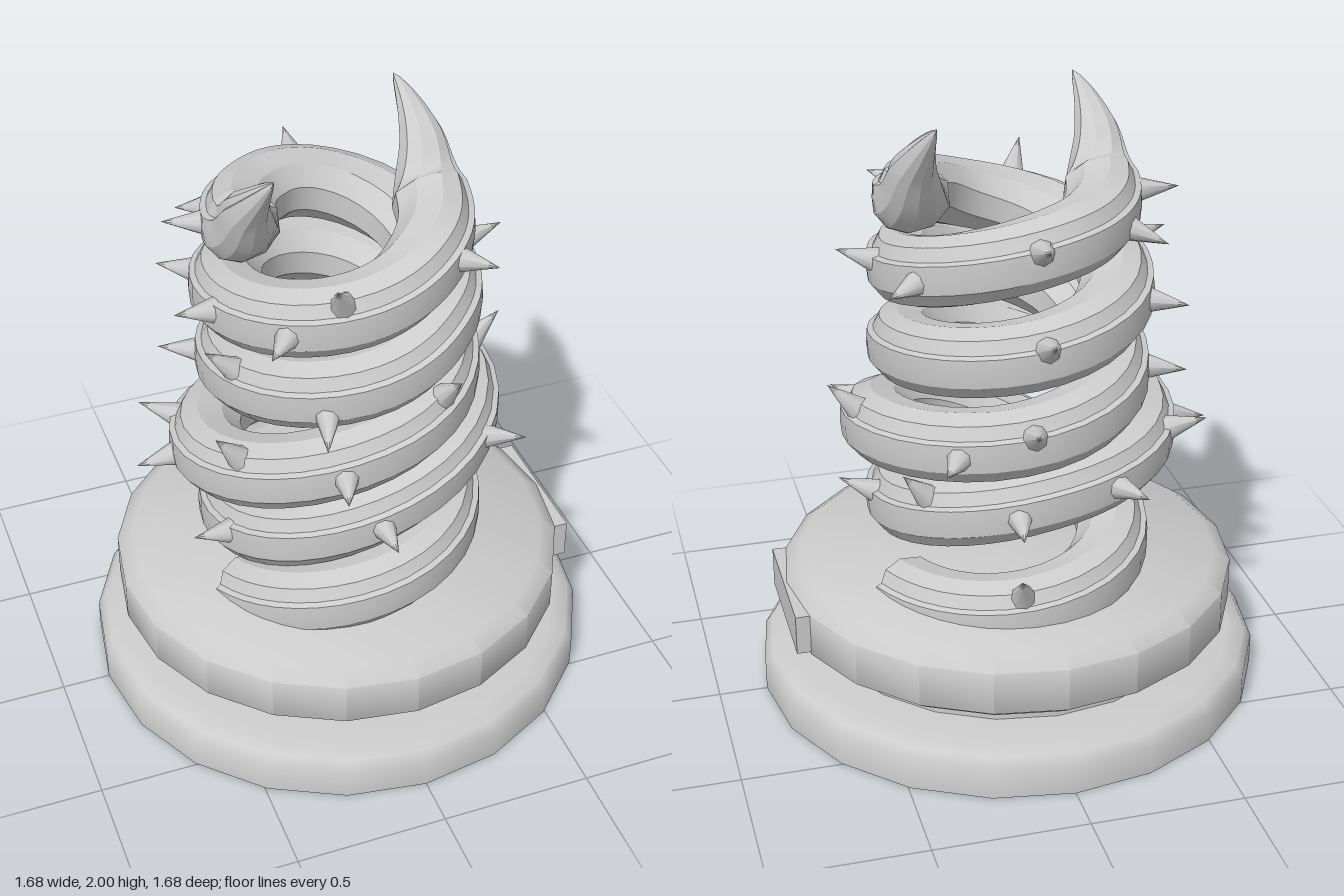
import * as THREE from 'three';
import { toCreasedNormals } from 'three/addons/utils/BufferGeometryUtils.js';

const material = new THREE.MeshStandardMaterial({ color: 0xcccccc });
const openMaterial = new THREE.MeshStandardMaterial({ color: 0xcccccc, side: THREE.DoubleSide });

// Vine cross-section: x points away from the axis, y points up; small steps form the ridges
const SECTION = [
  [1, 0], [0.97, 0.4], [0.8, 0.46], [0.62, 0.82], [0.1, 1], [-0.6, 0.85],
  [-1.1, 0.35], [-1.1, -0.35], [-0.6, -0.85], [0.1, -1], [0.64, -0.82], [0.96, -0.42],
];

// Each knot is [turn in degrees, height, distance from the axis]
const VINES = [
  {
    knots: [
      [-69, 0.4, 0.41], [0, 0.55, 0.43], [90, 0.65, 0.35], [180, 0.8, 0.36],
      [270, 0.9, 0.45], [360, 1.09, 0.4], [450, 1.21, 0.34], [540, 1.33, 0.42],
      [630, 1.45, 0.34], [720, 1.57, 0.33], [765, 1.65, 0.32], [810, 1.71, 0.31],
      [831, 1.845, 0.345], [852, 2.0, 0.375],
    ],
    // Each thorn is [turn in degrees, angle above horizontal]
    thorns: [
      [88, 25], [130, 50], [170, -5], [211, 0], [249, 20], [266, -10], [305, 55],
      [343, 0], [390, 50], [540, 25], [594, 0], [640, 10], [680, 0], [705, 50], [762, 5],
    ],
  },
  {
    knots: [
      [-249, 0.4, 0.41], [-180, 0.46, 0.44], [-90, 0.57, 0.34], [0, 0.77, 0.33],
      [90, 0.96, 0.44], [180, 1.06, 0.44], [270, 1.18, 0.33], [360, 1.33, 0.37],
      [405, 1.43, 0.36], [450, 1.475, 0.33], [540, 1.62, 0.34], [585, 1.66, 0.32],
      [629, 1.71, 0.31], [650, 1.845, 0.345], [671, 2.0, 0.375],
    ],
    thorns: [
      [-188, 50], [-75, 12], [0, 0], [57, 10], [100, 45], [150, 0], [175, 25],
      [243, 0], [290, 45], [335, -20], [450, 20], [486, -5], [540, 20], [590, -15], [618, 5],
    ],
  },
];

// Position and local axes at point t along a vine
function frameAt(curve, t) {
  const place = (s) => {
    const k = curve.getPoint(s);
    const a = THREE.MathUtils.degToRad(k.x);
    return new THREE.Vector3(Math.sin(a) * k.z, k.y, Math.cos(a) * k.z);
  };
  const position = place(t);
  const out = new THREE.Vector3(position.x, 0, position.z).normalize();
  const along = place(Math.min(1, t + 0.001)).sub(place(Math.max(0, t - 0.001))).normalize();
  const up = new THREE.Vector3().crossVectors(out, along).normalize();
  return { position, out, up, turn: curve.getPoint(t).x };
}

// Full thickness on the coil, drawn out to a point at the horn
function thickness(turn, end) {
  const taper = Math.pow(THREE.MathUtils.clamp((end - turn) / 44, 0, 1), 0.75);
  return 0.113 * taper;
}

function vineGeometry(curve, end) {
  const steps = 120;
  const n = SECTION.length;
  const positions = [];
  const index = [];
  for (let s = -1; s <= steps; s++) {
    const f = frameAt(curve, Math.max(0, s) / steps);
    const size = s < 0 ? 0 : thickness(f.turn, end); // first ring closes the root
    for (const [u, v] of SECTION) {
      const p = f.position.clone().addScaledVector(f.out, u * size).addScaledVector(f.up, v * size);
      positions.push(p.x, p.y, p.z);
    }
  }
  for (let s = 0; s <= steps; s++) {
    for (let i = 0; i < n; i++) {
      const a = s * n + i;
      const b = s * n + ((i + 1) % n);
      index.push(a, a + n, b, b, a + n, b + n);
    }
  }
  const geometry = new THREE.BufferGeometry();
  geometry.setAttribute('position', new THREE.Float32BufferAttribute(positions, 3));
  geometry.setIndex(index);
  return toCreasedNormals(geometry.toNonIndexed(), 0.5);
}

// Find where along the vine a given turn is reached
function paramForTurn(curve, turn) {
  let lo = 0;
  let hi = 1;
  for (let i = 0; i < 24; i++) {
    const mid = (lo + hi) / 2;
    if (curve.getPoint(mid).x < turn) lo = mid;
    else hi = mid;
  }
  return lo;
}

function createVine({ knots, thorns }) {
  const group = new THREE.Group();
  group.name = 'thornyVine';
  const end = knots[knots.length - 1][0];
  const curve = new THREE.CatmullRomCurve3(
    knots.map((k) => new THREE.Vector3(...k)), false, 'catmullrom', 0.5);
  const stem = new THREE.Mesh(vineGeometry(curve, end), material);
  stem.name = 'vineStem';
  group.add(stem);

  // Thorns: cones with their base sunk into the stem
  const thornGeometry = new THREE.ConeGeometry(0.045, 0.145, 8).translate(0, 0.0725, 0);
  for (const [turn, tilt] of thorns) {
    const f = frameAt(curve, paramForTurn(curve, turn));
    const angle = THREE.MathUtils.degToRad(tilt);
    const direction = f.out.clone().multiplyScalar(Math.cos(angle))
      .addScaledVector(f.up, Math.sin(angle)).normalize();
    const thorn = new THREE.Mesh(thornGeometry, material);
    thorn.name = 'thorn';
    thorn.position.copy(f.position).addScaledVector(direction, 0.088);
    thorn.quaternion.setFromUnitVectors(new THREE.Vector3(0, 1, 0), direction);
    group.add(thorn);
  }
  return group;
}

export function createModel() {
  const model = new THREE.Group();
  model.name = 'twistedVineTrophy';

  // Hollow stepped base, open underneath
  const profile = [
    [0.84, 0], [0.84, 0.1], [0.815, 0.135], [0.76, 0.148], [0.635, 0.155], [0.635, 0.205],
    [0.7, 0.215], [0.755, 0.255], [0.755, 0.4], [0.7, 0.44], [0, 0.44],
  ].map(([r, y]) => new THREE.Vector2(r, y));
  const base = new THREE.Mesh(
    toCreasedNormals(new THREE.LatheGeometry(profile, 20), 0.95), openMaterial);
  base.name = 'base';
  model.add(base);

  // Blank plate on the left side of the base
  const plate = new THREE.Mesh(new THREE.BoxGeometry(0.05, 0.135, 0.465), material);
  plate.name = 'namePlate';
  plate.position.set(0.74, 0.332, 0);
  model.add(plate);

  // Two intertwined vines ending in horns
  for (const vine of VINES) model.add(createVine(vine));
  return model;
}
